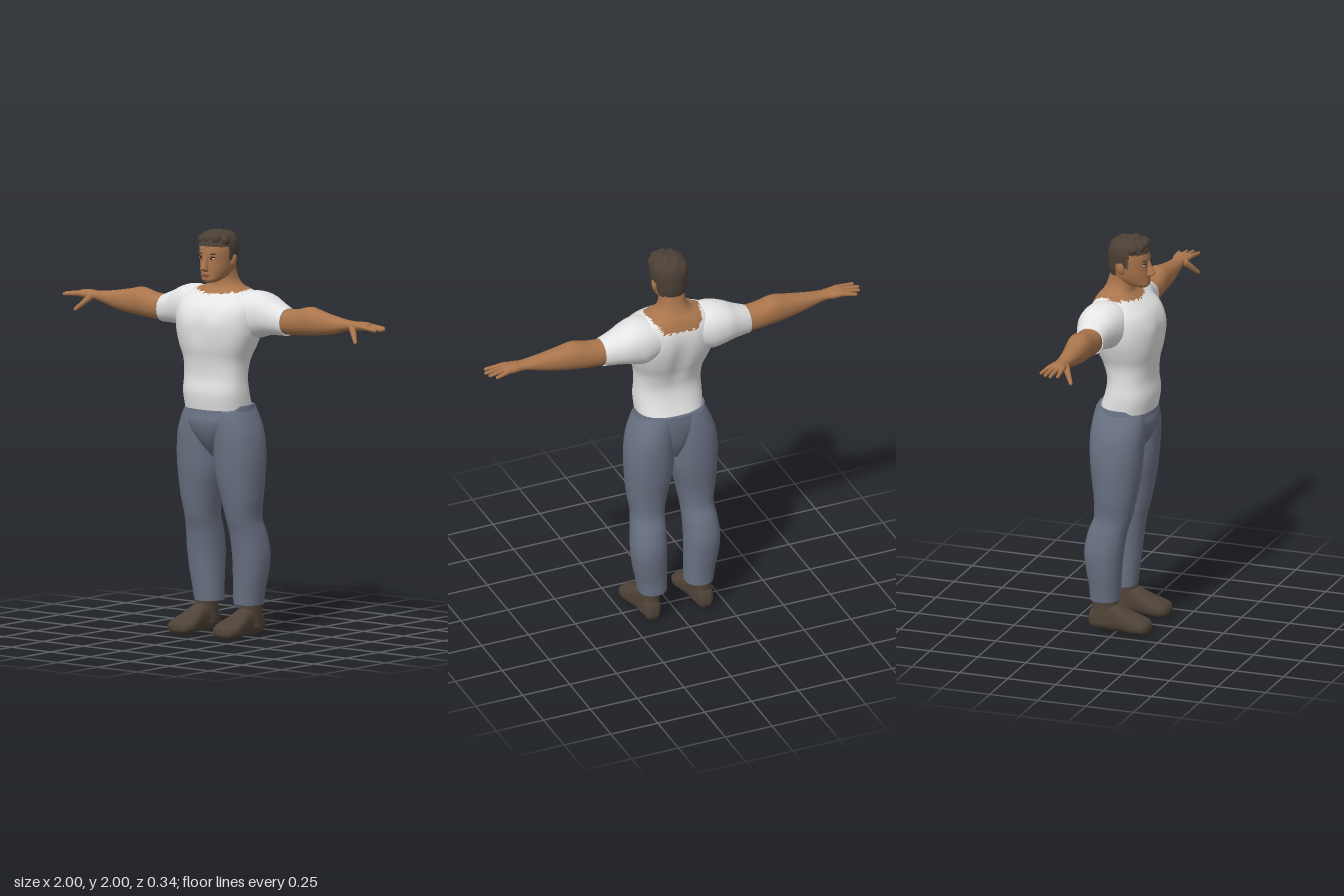
import * as THREE from 'three';

const mat = (name, color, side = THREE.FrontSide) => {
  const m = new THREE.MeshStandardMaterial({ color, side });
  m.name = name;
  return m;
};

// Cyclic axis order: a ring along `axis` spans the next two axes.
const PLANES = { x: ['x', 'y', 'z'], y: ['y', 'z', 'x'], z: ['z', 'x', 'y'] };
const spline = (a, b, c, d, t) =>
  b + 0.5 * t * (c - a + t * (2 * a - 5 * b + 4 * c - d + t * (3 * (b - c) + d - a)));

// Smooth skin over rings [position, aMin, aMax, bMin, bMax].
function loft(rings, axis, { seg = 32, sub = 5, power = 2.2, caps = true, warp, paint } = {}) {
  const [k0, k1, k2] = PLANES[axis];
  const pos = [], lists = [[], []], last = rings.length - 1, rows = last * sub;
  const at = (i) => rings[Math.min(last, Math.max(0, i))];
  const add = (p) => pos.push(p.x, p.y, p.z) / 3 - 1;
  const round = (v) => Math.sign(v) * Math.abs(v) ** (2 / power);
  for (let r = 0; r <= rows; r++) {
    const i = Math.min(last - 1, Math.floor(r / sub)), t = r / sub - i;
    const [c, a0, a1, b0, b1] = at(i).map((v, j) => spline(at(i - 1)[j], v, at(i + 1)[j], at(i + 2)[j], t));
    for (let s = 0; s < seg; s++) {
      const th = (s / seg) * Math.PI * 2, p = new THREE.Vector3();
      p[k0] = c;
      p[k1] = (a0 + a1) / 2 + ((a1 - a0) / 2) * round(Math.cos(th));
      p[k2] = (b0 + b1) / 2 + ((b1 - b0) / 2) * round(Math.sin(th));
      if (warp) warp(p);
      add(p);
    }
  }
  const tri = (...ids) => {
    const mean = (o) => ids.reduce((sum, id) => sum + pos[id * 3 + o], 0) / 3;
    const slot = paint ? paint(mean(0), mean(1), mean(2)) : 0;
    if (slot >= 0) lists[slot].push(...ids);
  };
  for (let r = 0; r < rows; r++) for (let s = 0; s < seg; s++) {
    const a = r * seg + s, b = r * seg + (s + 1) % seg;
    tri(a, b, b + seg);
    tri(a, b + seg, a + seg);
  }
  if (caps) for (const row of [0, rows]) {
    const ring = [], mid = new THREE.Vector3();
    for (let s = 0; s < seg; s++) {
      const p = new THREE.Vector3().fromArray(pos, (row * seg + s) * 3);
      mid.addScaledVector(p, 1 / seg);
      ring.push(add(p));
    }
    const m = add(mid);
    ring.forEach((id, s) => {
      const next = ring[(s + 1) % seg];
      row ? tri(m, id, next) : tri(m, next, id);
    });
  }
  const g = new THREE.BufferGeometry();
  g.setAttribute('position', new THREE.Float32BufferAttribute(pos, 3));
  g.setIndex([...lists[0], ...lists[1]]);
  if (lists[1].length) {
    g.addGroup(0, lists[0].length, 0);
    g.addGroup(lists[0].length, lists[1].length, 1);
  }
  g.computeVertexNormals();
  return g;
}

// Rings along y that are symmetric in x: [y, zBack, zFront, halfWidth]
const sym = (rows) => rows.map(([y, z0, z1, w]) => [y, z0, z1, -w, w]);

// Tapered capsule between two points
function digit(from, to, r0, r1) {
  const a = new THREE.Vector3(...from), b = new THREE.Vector3(...to);
  const dir = b.clone().sub(a), len = dir.length();
  const g = new THREE.CapsuleGeometry(1, len, 5, 12, 3), p = g.attributes.position;
  for (let i = 0; i < p.count; i++) {
    const y = p.getY(i), t = THREE.MathUtils.clamp(y / len + 0.5, 0, 1), r = r0 + (r1 - r0) * t;
    const end = y - THREE.MathUtils.clamp(y, -len / 2, len / 2);
    p.setXYZ(i, p.getX(i) * r, y - end + end * r, p.getZ(i) * r);
  }
  g.computeVertexNormals();
  g.applyQuaternion(new THREE.Quaternion().setFromUnitVectors(new THREE.Vector3(0, 1, 0), dir.normalize()));
  return g.translate(...a.add(b).multiplyScalar(0.5).toArray());
}

function ball(x, y, z, rx, ry, rz, tilt = 0) {
  return new THREE.SphereGeometry(1, 16, 10).scale(rx, ry, rz).rotateZ(tilt).translate(x, y, z);
}

function mirrored(geo) {
  const g = geo.clone().scale(-1, 1, 1), ix = g.index.array;
  for (let i = 0; i < ix.length; i += 3) [ix[i], ix[i + 1]] = [ix[i + 1], ix[i]];
  return g;
}

export function createModel() {
  const model = new THREE.Group();
  model.name = 'standingMan';
  const skin = mat('skin', 0xa9754c), shirt = mat('shirtWhite', 0xe4e4e4);
  const denim = mat('trouserBlue', 0x697182), shoe = mat('shoeBrown', 0x4f4338);
  const hair = mat('hairBrown', 0x4c4036, THREE.DoubleSide);
  const dark = mat('eyeDark', 0x2b211b), white = mat('eyeWhite', 0xc4b5a6), lip = mat('lips', 0x85533b);
  const put = (name, geo, material) => {
    const m = new THREE.Mesh(geo, material);
    m.name = name;
    model.add(m);
  };
  const pair = (name, geo, material) => {
    put(name + 'Left', geo, material);
    put(name + 'Right', mirrored(geo), material);
  };

  // Shirt body and neck in one skin, with the neckline painted in
  put('torso', loft(sym([
    [1.12, -0.125, 0.142, 0.168], [1.2, -0.097, 0.152, 0.172], [1.28, -0.085, 0.142, 0.168],
    [1.36, -0.105, 0.148, 0.174], [1.43, -0.135, 0.162, 0.2], [1.5, -0.158, 0.165, 0.222],
    [1.57, -0.17, 0.162, 0.228], [1.63, -0.167, 0.137, 0.222], [1.675, -0.15, 0.085, 0.195],
    [1.7, -0.135, 0.052, 0.145], [1.72, -0.118, 0.034, 0.092], [1.76, -0.098, 0.03, 0.066],
    [1.83, -0.08, 0.035, 0.062],
  ]), 'y', {
    seg: 64, power: 2.4,
    warp: (p) => {
      const belt = Math.exp(-((p.y - 1.47) ** 2) / 0.02);
      if (p.z > 0.05) p.z += 0.009 * Math.exp(-((Math.abs(p.x) - 0.09) ** 2) / 0.004 - (p.y - 1.53) ** 2 / 0.006);
      if (p.z < -0.04) p.z += 0.018 * belt * Math.exp(-(p.x ** 2) / 0.0015);
    },
    paint: (x, y, z) => {
      const edge = z < -0.05 ? 1.645 + Math.max(0, Math.abs(x) - 0.09) * 1.5 : 1.682 + 0.12 * Math.abs(x);
      return y > edge + 0.005 * Math.sin(x * 190) ? 1 : 0;
    },
  }), [shirt, skin]);

  // Sleeves and bare arms
  pair('sleeve', loft([
    [0.1, 1.5, 1.69, -0.155, 0.06], [0.17, 1.47, 1.703, -0.168, 0.07], [0.22, 1.475, 1.702, -0.168, 0.06],
    [0.27, 1.49, 1.688, -0.162, 0.043], [0.32, 1.496, 1.663, -0.145, 0.028], [0.387, 1.498, 1.634, -0.125, 0.017],
  ], 'x'), shirt);
  pair('arm', loft([
    [0.37, 1.505, 1.63, -0.12, 0.012], [0.45, 1.508, 1.636, -0.12, 0.015], [0.53, 1.514, 1.655, -0.114, 0.012],
    [0.6, 1.522, 1.642, -0.104, 0.01], [0.68, 1.535, 1.627, -0.09, 0.003], [0.76, 1.557, 1.615, -0.079, -0.005],
    [0.81, 1.568, 1.611, -0.076, -0.009], [0.85, 1.568, 1.613, -0.084, -0.001], [0.89, 1.573, 1.611, -0.088, 0.003],
    [0.912, 1.58, 1.604, -0.08, -0.004],
  ], 'x', { seg: 24 }), skin);
  [[-0.075, -0.092, 0.955], [-0.053, -0.062, 0.982], [-0.03, -0.032, 0.991], [-0.008, 0.002, 0.978]].forEach(
    ([z0, z1, tip], i) => pair('finger' + (i + 1), digit([0.88, 1.594, z0], [tip, 1.584, z1], 0.0125, 0.0085), skin));
  pair('thumb', digit([0.825, 1.583, -0.012], [0.882, 1.521, 0.035], 0.018, 0.009), skin);

  // Trousers: hips and two legs
  put('hips', loft(sym([
    [0.88, -0.08, 0.05, 0.06], [0.95, -0.115, 0.107, 0.09], [1.01, -0.13, 0.136, 0.14],
    [1.06, -0.137, 0.145, 0.168], [1.1, -0.138, 0.136, 0.18], [1.14, -0.135, 0.13, 0.175],
  ]), 'y', { seg: 48, power: 2.3 }), denim);
  pair('trouserLeg', loft([
    [0.15, -0.145, 0.002, 0.052, 0.195], [0.22, -0.147, 0.008, 0.052, 0.206], [0.3, -0.158, 0.016, 0.053, 0.221],
    [0.4, -0.167, 0.027, 0.053, 0.23], [0.5, -0.15, 0.044, 0.052, 0.222], [0.58, -0.122, 0.067, 0.048, 0.213],
    [0.68, -0.122, 0.088, 0.029, 0.227], [0.8, -0.137, 0.108, 0.001, 0.236], [0.9, -0.145, 0.118, -0.005, 0.237],
    [1.0, -0.147, 0.125, -0.005, 0.224], [1.08, -0.14, 0.125, -0.01, 0.195], [1.135, -0.13, 0.115, -0.02, 0.168],
  ], 'y', { seg: 36 }), denim);

  // Shoes with ankle shafts
  pair('shoe', loft([
    [-0.145, 0.12, 0.16, 0.03, 0.07], [-0.125, 0.1, 0.18, 0.005, 0.115], [-0.06, 0.093, 0.187, 0, 0.15],
    [0, 0.088, 0.192, 0, 0.132], [0.06, 0.074, 0.206, 0, 0.102], [0.115, 0.066, 0.214, 0, 0.08],
    [0.155, 0.082, 0.2, 0.004, 0.064], [0.17, 0.115, 0.167, 0.02, 0.045],
  ], 'z', { seg: 28, power: 2.5 }), shoe);
  pair('ankle', loft([
    [0.04, -0.135, 0.01, 0.088, 0.192], [0.11, -0.132, 0, 0.09, 0.188], [0.2, -0.128, -0.01, 0.088, 0.186],
  ], 'y', { seg: 24 }), shoe);

  // Head and facial features
  put('head', loft(sym([
    [1.742, 0.05, 0.098, 0.022], [1.756, 0.0, 0.113, 0.045], [1.78, -0.06, 0.112, 0.062],
    [1.81, -0.078, 0.11, 0.073], [1.85, -0.085, 0.108, 0.08], [1.885, -0.088, 0.111, 0.083],
    [1.925, -0.086, 0.105, 0.083], [1.96, -0.07, 0.085, 0.07], [1.982, -0.03, 0.045, 0.035],
  ]), 'y', { seg: 40 }), skin);
  put('nose', loft(sym([
    [1.798, 0.09, 0.118, 0.012], [1.808, 0.09, 0.138, 0.019], [1.818, 0.09, 0.144, 0.017],
    [1.845, 0.09, 0.129, 0.011], [1.88, 0.09, 0.114, 0.01],
  ]), 'y', { seg: 16, sub: 3 }), skin);
  put('upperLip', ball(0, 1.782, 0.108, 0.026, 0.0045, 0.009), lip);
  put('lowerLip', ball(0, 1.774, 0.108, 0.022, 0.005, 0.009), lip);
  pair('ear', ball(0.083, 1.848, -0.005, 0.011, 0.033, 0.02, -0.12), skin);
  pair('eye', ball(0.033, 1.864, 0.1, 0.015, 0.006, 0.006), white);
  pair('iris', ball(0.033, 1.864, 0.104, 0.006, 0.006, 0.0035), dark);
  pair('eyelid', ball(0.034, 1.871, 0.101, 0.018, 0.003, 0.007), dark);
  pair('brow', ball(0.036, 1.886, 0.102, 0.024, 0.0045, 0.007, 0.12), hair);

  // Hair: a shell cut along the hairline, with a swept front
  put('hair', loft(sym([
    [1.79, -0.082, 0.11, 0.072], [1.83, -0.092, 0.112, 0.085], [1.88, -0.096, 0.115, 0.09],
    [1.925, -0.095, 0.112, 0.093], [1.96, -0.082, 0.1, 0.084], [1.982, -0.058, 0.075, 0.062],
    [1.993, -0.015, 0.03, 0.02],
  ]), 'y', {
    seg: 48,
    warp: (p) => { p.y += 0.003 * Math.sin(p.x * 110 + p.z * 60); },
    paint: (x, y, z) => (y > (z > 0.035 ? 1.922 : z > 0.012 ? 1.852 : z > -0.035 ? 1.872 : 1.805) ? 0 : -1),
  }), hair);
  [[-0.066, 1.946, 0.05, 0.028], [-0.036, 1.953, 0.078, 0.028], [0, 1.957, 0.083, 0.028],
    [0.036, 1.957, 0.074, 0.03], [0.064, 1.95, 0.045, 0.03], [0.03, 1.976, 0.035, 0.026], [-0.028, 1.97, 0.035, 0.028],
  ].forEach(([x, y, z, r], i) => put('hairTuft' + (i + 1), ball(x, y, z, r, r * 0.9, r * 0.95, 0.3), hair));
  return model;
}
